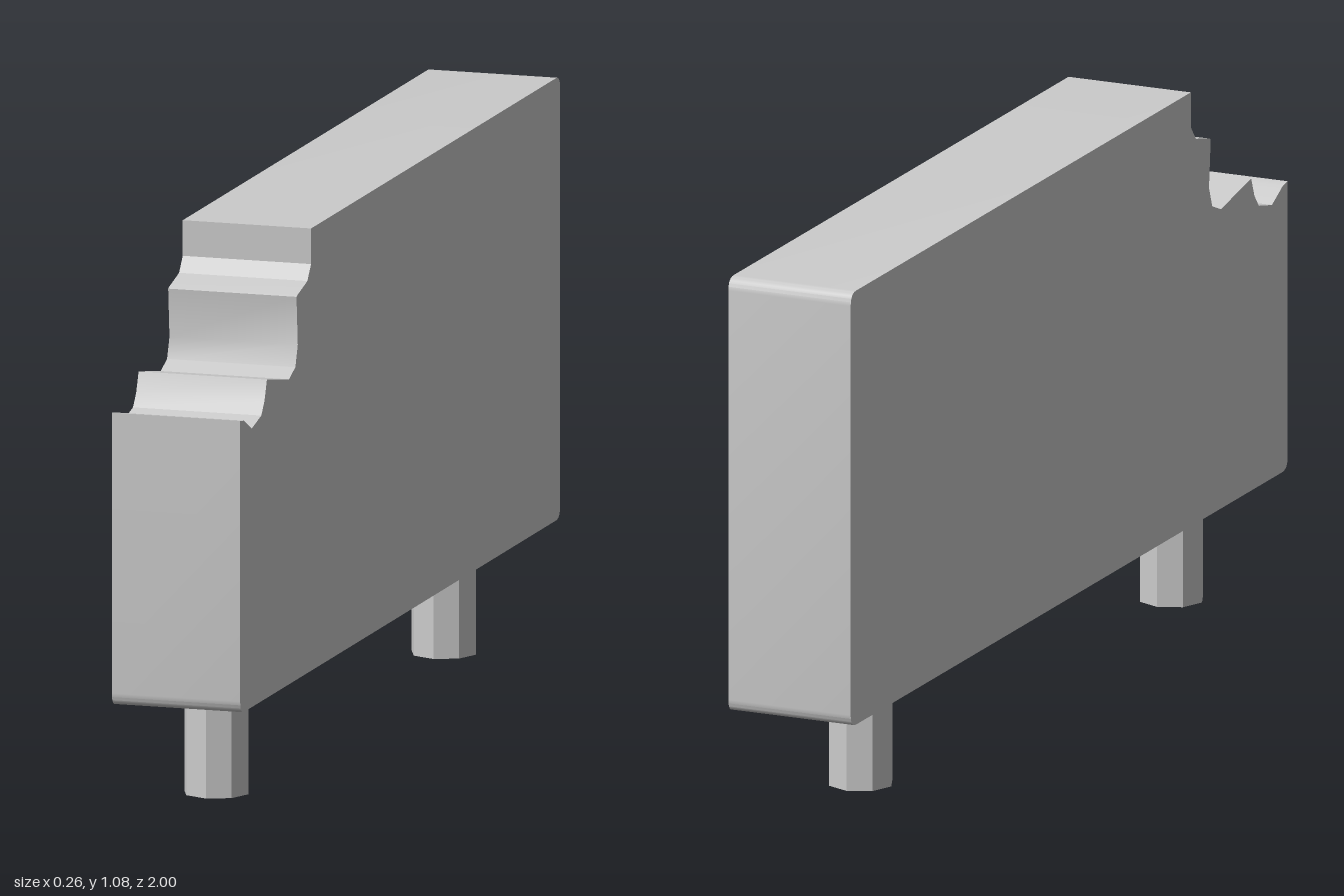
import * as THREE from 'three';
import { toCreasedNormals } from 'three/addons/utils/BufferGeometryUtils.js';

const WIDTH = 0.26, BOTTOM = 0.21, TOP = 1.08, R = 0.025;

// Side outline, drawn as (z, y): rounded slab with a bitten front top corner
function slabShape() {
  const s = new THREE.Shape();
  s.moveTo(-1 + R, BOTTOM);
  s.lineTo(1 - R, BOTTOM);
  s.quadraticCurveTo(1, BOTTOM, 1, BOTTOM + R);
  const bite = [
    [1, 0.787], [0.977, 0.783], [0.928, 0.758], [0.868, 0.772], [0.848, 0.797],
    [0.833, 0.836], [0.695, 0.81], [0.655, 0.826], [0.64, 0.867], [0.648, 0.963],
    [0.64, 0.966], [0.58, 0.981], [0.557, 1.01], [0.557, TOP],
  ];
  bite.forEach(([z, y]) => s.lineTo(z, y));
  s.lineTo(-1 + R, TOP);
  s.quadraticCurveTo(-1, TOP, -1, TOP - R);
  s.lineTo(-1, BOTTOM + R);
  s.quadraticCurveTo(-1, BOTTOM, -1 + R, BOTTOM);
  return s;
}

export function createModel() {
  const group = new THREE.Group();
  group.name = 'bittenSlab';
  const material = new THREE.MeshStandardMaterial({ color: 0xcccccc });

  // Slab, extruded across x
  const slab = new THREE.ExtrudeGeometry(slabShape(), {
    depth: WIDTH, bevelEnabled: false, curveSegments: 6,
  });
  slab.translate(0, 0, -WIDTH / 2).rotateY(-Math.PI / 2);
  const body = new THREE.Mesh(toCreasedNormals(slab, Math.PI / 7), material);
  body.name = 'body';
  group.add(body);

  // Octagonal pegs below the slab
  const pegMaterial = new THREE.MeshStandardMaterial({ color: 0xcccccc, flatShading: true });
  const pegGeometry = new THREE.CylinderGeometry(0.065, 0.065, BOTTOM, 8);
  for (const [name, z] of [['frontPeg', 0.748], ['backPeg', -0.674]]) {
    const peg = new THREE.Mesh(pegGeometry, pegMaterial);
    peg.name = name;
    peg.position.set(0, BOTTOM / 2, z);
    group.add(peg);
  }
  return group;
}
